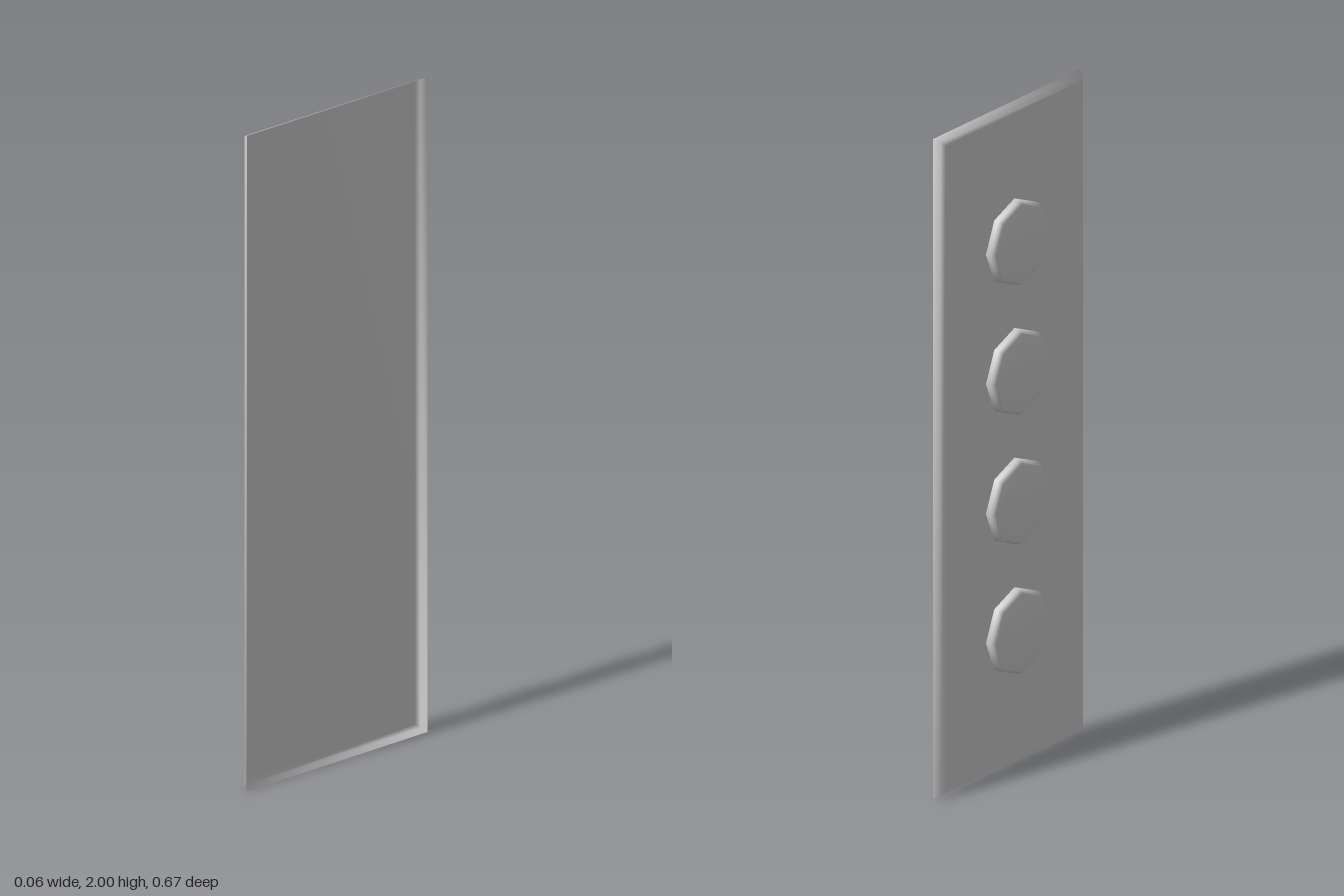
import * as THREE from 'three';

// Shallow open tray, lofted through rectangular loops and closed by a flat floor
function trayGeometry(height, width, loops) {
  const positions = [], indices = [];
  const corners = [[1, 1], [-1, 1], [-1, -1], [1, -1]]; // z, y signs
  for (const [x, inset] of loops) {
    for (const [sz, sy] of corners) {
      positions.push(x, height / 2 + sy * (height / 2 - inset), sz * (width / 2 - inset));
    }
  }
  indices.push(0, 1, 2, 0, 2, 3);
  for (let k = 0; k < loops.length - 1; k++) {
    for (let i = 0; i < 4; i++) {
      const a = k * 4 + i, b = k * 4 + (i + 1) % 4;
      indices.push(a, a + 4, b + 4, a, b + 4, b);
    }
  }
  const geometry = new THREE.BufferGeometry();
  geometry.setAttribute('position', new THREE.Float32BufferAttribute(positions, 3));
  geometry.setIndex(indices);
  geometry.computeVertexNormals();
  return geometry;
}

export function createModel() {
  const model = new THREE.Group();
  const material = new THREE.MeshStandardMaterial({ color: 0xcccccc, side: THREE.DoubleSide });

  // Back plate with flared rim, hollow towards +x
  const plate = new THREE.Mesh(
    trayGeometry(2, 0.665, [[0, 0.02], [0.01, 0.009], [0.03, 0]]), material);
  plate.name = 'plate';
  model.add(plate);

  // Four eight-sided knobs with softened edges, facing -x
  const profile = [[0.13, 0], [0.13, 0.014], [0.127, 0.022], [0.118, 0.027], [0.07, 0.031], [0, 0.032]]
    .map(([r, h]) => new THREE.Vector2(r, h));
  const knobGeometry = new THREE.LatheGeometry(profile, 8).rotateZ(Math.PI / 2);
  for (let i = 0; i < 4; i++) {
    const knob = new THREE.Mesh(knobGeometry, material);
    knob.name = `knob${i + 1}`;
    knob.position.y = 0.413 + i * 0.393;
    model.add(knob);
  }
  return model;
}
